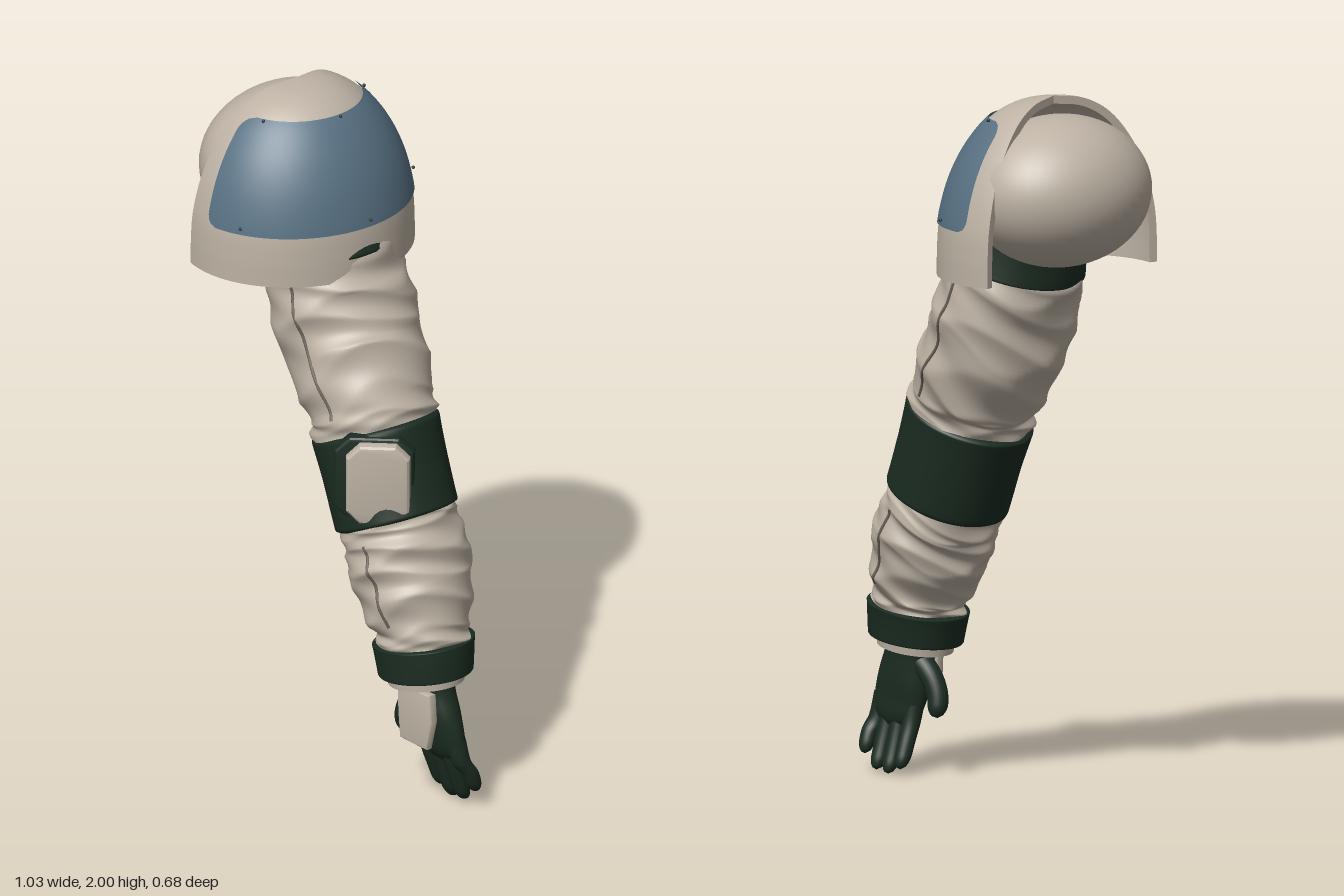
import * as THREE from 'three';
import { toCreasedNormals } from 'three/addons/utils/BufferGeometryUtils.js';

const V = (x, y, z) => new THREE.Vector3(x, y, z);
const mat = (name, color, side = THREE.FrontSide) => {
  const m = new THREE.MeshStandardMaterial({ color, side });
  m.name = name;
  return m;
};

// Elliptical tube path: stations are [x, y, z, radius across, radius in z]
function makePath(stations) {
  const centre = new THREE.CatmullRomCurve3(stations.map(s => V(s[0], s[1], s[2])));
  const radius = new THREE.CatmullRomCurve3(stations.map(s => V(s[3], s[4], 0)));
  const last = stations.length - 1;
  return (t, a, grow = 0, scale = 1) => {
    const k = THREE.MathUtils.clamp(t / last, 0, 1);
    const c = centre.getPoint(k), d = centre.getTangent(k), r = radius.getPoint(k);
    const n = Math.hypot(d.x, d.y);
    const w = (r.x + grow) * scale * Math.cos(a);
    return V(c.x - d.y / n * w, c.y + d.x / n * w, c.z + (r.y + grow) * scale * Math.sin(a));
  };
}

// Skin a grid of points f(u, v); u runs around, v runs along
function skin(f, nu, nv, closed) {
  const pos = [], idx = [], cols = closed ? nu : nu + 1;
  for (let i = 0; i <= nv; i++)
    for (let j = 0; j < cols; j++) pos.push(...f(j / nu, i / nv).toArray());
  for (let i = 0; i < nv; i++)
    for (let j = 0; j < nu; j++) {
      const a = i * cols + j, b = i * cols + (j + 1) % cols;
      idx.push(a, b, a + cols, b, b + cols, a + cols);
    }
  const g = new THREE.BufferGeometry();
  g.setAttribute('position', new THREE.Float32BufferAttribute(pos, 3));
  g.setIndex(idx);
  g.computeVertexNormals();
  return g;
}

// Cloth folds: slanted ridges with sharp valleys
function folds(t, a) {
  const ridge = x => 1 - 2 * Math.abs(Math.sin(x));
  return 0.006 * ridge(t * 2.6 + 0.9 * Math.sin(a + 1) + 0.4 * Math.sin(3 * a))
    + 0.004 * ridge(t * 4.1 - 1.3 * Math.sin(a * 2 + t) + 2)
    + 0.005 * Math.sin(3 * a + t * 3) * Math.sin(t * 5 + a);
}

function plate(points, depth, bevel) {
  const shape = new THREE.Shape(points.map(p => new THREE.Vector2(p[0], p[1])));
  return toCreasedNormals(new THREE.ExtrudeGeometry(shape, {
    depth, bevelEnabled: true, bevelSize: bevel, bevelThickness: bevel, bevelSegments: 3 }), 0.5);
}
const octagon = (w, h, c) => [[-w, -h + c], [-w + c, -h], [w - c, -h], [w, -h + c],
  [w, h - c], [w - c, h], [-w + c, h], [-w, h - c]];

export function createModel() {
  const group = new THREE.Group();
  const pale = mat('pale cloth', 0xbdb2a4, THREE.DoubleSide);
  const green = mat('dark green', 0x1b2c21, THREE.DoubleSide);
  const blue = mat('panel blue', 0x587183, THREE.DoubleSide);
  const seamGrey = mat('seam grey', 0x6b655b);
  const rivetGrey = mat('rivet grey', 0x35383a);
  const add = (name, geometry, material) => {
    const m = new THREE.Mesh(geometry, material);
    m.name = name;
    group.add(m);
    return m;
  };

  // Arm from shoulder to cuff
  const arm = makePath([
    [-0.16, 1.65, 0, 0.16, 0.16], [-0.11, 1.54, 0, 0.185, 0.185], [-0.07, 1.415, -0.005, 0.19, 0.208],
    [-0.01, 1.27, -0.005, 0.198, 0.205], [0.08, 1.13, 0.005, 0.18, 0.19], [0.11, 1.06, 0.015, 0.178, 0.172],
    [0.155, 0.94, 0.015, 0.168, 0.168], [0.205, 0.81, 0.015, 0.166, 0.168], [0.24, 0.74, 0.015, 0.167, 0.177],
    [0.28, 0.64, 0.018, 0.163, 0.175], [0.325, 0.53, 0.025, 0.137, 0.145],
    [0.337, 0.475, 0.03, 0.134, 0.127], [0.35, 0.385, 0.033, 0.124, 0.116]]);
  const sleeve = (t0, t1) => skin((u, v) => {
    const t = t0 + (t1 - t0) * v, a = u * Math.PI * 2;
    return arm(t, a, folds(t, a));
  }, 72, 70, true);
  // Smooth band with ends rolled inwards
  const band = (t0, t1, grow) => skin((u, v) => {
    const e = Math.abs(2 * v - 1), lip = e > 0.85 ? 0.04 * ((e - 0.85) / 0.15) ** 3 : 0;
    return arm(t0 + (t1 - t0) * v, u * Math.PI * 2, grow - lip);
  }, 64, 40, true);
  add('shoulderLining', band(0, 1.3, 0.002), green);
  add('upperSleeve', sleeve(1.05, 5.1), pale);
  add('elbowBand', band(4.95, 7.08, 0.01), green);
  add('lowerSleeve', sleeve(6.9, 11.1), pale);
  add('cuff', band(10.8, 12, 0.014), green);

  // Seams down the front and back of both sleeves
  for (const side of [1, -1])
    for (const [t0, t1] of [[1.3, 4.3], [7.6, 9.8]]) {
      const pts = [];
      for (let i = 0; i <= 14; i++) {
        const t = t0 + (t1 - t0) * i / 14, a = side * 1.35;
        pts.push(arm(t, a, folds(t, a)));
      }
      add('sleeveSeam', new THREE.TubeGeometry(new THREE.CatmullRomCurve3(pts), 40, 0.005, 6), seamGrey);
    }

  // Shoulder ball
  const ball = add('shoulderBall', new THREE.SphereGeometry(1, 48, 32), pale);
  ball.scale.set(0.235, 0.214, 0.28);
  ball.position.set(-0.28, 1.738, -0.016);

  // Shoulder dome: partial lathe shell with closed ends
  const curve = new THREE.CatmullRomCurve3([[0.338, 1.5], [0.337, 1.58], [0.33, 1.66], [0.3, 1.77],
    [0.25, 1.865], [0.18, 1.943], [0.1, 1.985], [0, 2]].map(p => V(p[0], p[1], 0)));
  const outer = curve.getPoints(40).map(p => new THREE.Vector2(Math.max(p.x, 0), p.y));
  const inner = outer.map(p => new THREE.Vector2(p.x * 0.93, 1.5 + (p.y - 1.5) * 0.955)).reverse();
  const loop = [...outer, ...inner];
  const reach = THREE.MathUtils.degToRad(104);
  const dome = new THREE.Group();
  dome.name = 'shoulderDome';
  dome.position.x = -0.24;
  dome.scale.x = 0.925;
  group.add(dome);
  const addDome = (name, g, m) => {
    const mesh = add(name, g, m);
    dome.add(mesh);
    return mesh;
  };
  addDome('domeShell', toCreasedNormals(new THREE.LatheGeometry([...loop, outer[0].clone()], 72,
    Math.PI / 2 - reach, 2 * reach), 0.7), pale);
  for (const s of [1, -1])
    addDome('domeEdge', new THREE.ShapeGeometry(new THREE.Shape(loop)), pale).rotation.y = -s * reach;

  // Blue panel wrapped on the dome, rounded at its corners
  const radiusAt = y => {
    const i = Math.max(1, outer.findIndex(p => p.y >= y)), a = outer[i - 1], b = outer[i];
    return a.x + (b.x - a.x) * (y - a.y) / (b.y - a.y);
  };
  const corner = q => 1 - Math.sqrt(Math.max(0, 1 - q * q));
  addDome('bluePanel', skin((u, v) => {
    const y = 1.648 + 0.292 * v;
    const cut = v < 0.13 ? 6 * corner(1 - v / 0.13) : v > 0.87 ? 13 * corner((v - 0.87) / 0.13) : 0;
    const phi = THREE.MathUtils.degToRad((89 - cut) * (2 * u - 1)), r = radiusAt(y) + 0.005;
    return V(r * Math.cos(phi), y + 0.004 * v, -r * Math.sin(phi));
  }, 72, 40, false), blue);

  // Small rivets at the panel rim
  for (const [x, y, z] of [[-0.115, 1.67, 0.318], [-0.115, 1.67, -0.318], [0.075, 1.67, 0],
    [-0.17, 1.943, 0.185], [-0.17, 1.943, -0.185], [-0.055, 1.943, 0]])
    add('rivet', new THREE.SphereGeometry(0.005, 8, 6), rivetGrey).position.set(x, y, z);

  // Elbow pad on its dark mount
  const pad = new THREE.Group();
  pad.name = 'elbowPad';
  pad.position.set(0.262, 0.97, 0.132);
  pad.rotation.y = Math.PI / 4;
  group.add(pad);
  const mount = add('padMount', plate(octagon(0.1, 0.115, 0.035), 0.03, 0.012), green);
  mount.position.set(-0.012, 0.005, -0.04);
  const face = add('padFace', plate(octagon(0.075, 0.105, 0.03), 0.03, 0.015), pale);
  face.position.z = -0.01;
  pad.add(mount, face);

  // Glove: wrist lining, palm, back plate
  const tube = (path, last, r) => skin((u, v) => {
    const q = Math.max(0, (v - 0.8) / 0.2);
    return path(v * last, u * Math.PI * 2, r, Math.sqrt(Math.max(0, 1 - q * q)));
  }, 24, 30, true);
  add('wristLining', skin((u, v) => arm(11.7 + 0.3 * v, u * Math.PI * 2, -0.012)
    .add(V(0.002, -0.022 * v, 0)), 48, 4, true), pale);
  add('palm', tube(makePath([[0.36, 0.44, 0.04, 0.085, 0.075], [0.375, 0.35, 0.037, 0.08, 0.06],
    [0.393, 0.27, 0.033, 0.09, 0.056], [0.408, 0.2, 0.025, 0.09, 0.044], [0.415, 0.13, 0.01, 0.075, 0.032]]), 4, 0), green);
  const back = add('handPlate', plate([[0.318, 0.365], [0.325, 0.29], [0.335, 0.222], [0.435, 0.22],
    [0.452, 0.3], [0.443, 0.372]].reverse(), 0.012, 0.008), pale);
  back.position.set(0, -0.012, 0.102);
  back.rotation.x = -0.04;

  // Four fingers and the thumb
  const digit = (name, pts, r) =>
    add(name, tube(makePath(pts.map((p, i) => [...p, r * (1 - 0.06 * i), r * (1 - 0.06 * i)])), pts.length - 1, 0), green);
  for (const [x0, x1, tip] of [[0.345, 0.345, 0.022], [0.39, 0.393, 0.004], [0.433, 0.44, 0.01], [0.472, 0.487, 0.05]])
    digit('finger', [[x0, 0.22, 0.028], [(x0 + x1) / 2 + 0.004, 0.15, 0.015],
      [x1 + 0.003, tip + 0.065, -0.008], [x1, tip, -0.032]], 0.028);
  digit('thumb', [[0.335, 0.33, 0.03], [0.29, 0.285, 0.035], [0.264, 0.235, 0.035], [0.255, 0.172, 0.025]], 0.034);

  return group;
}
